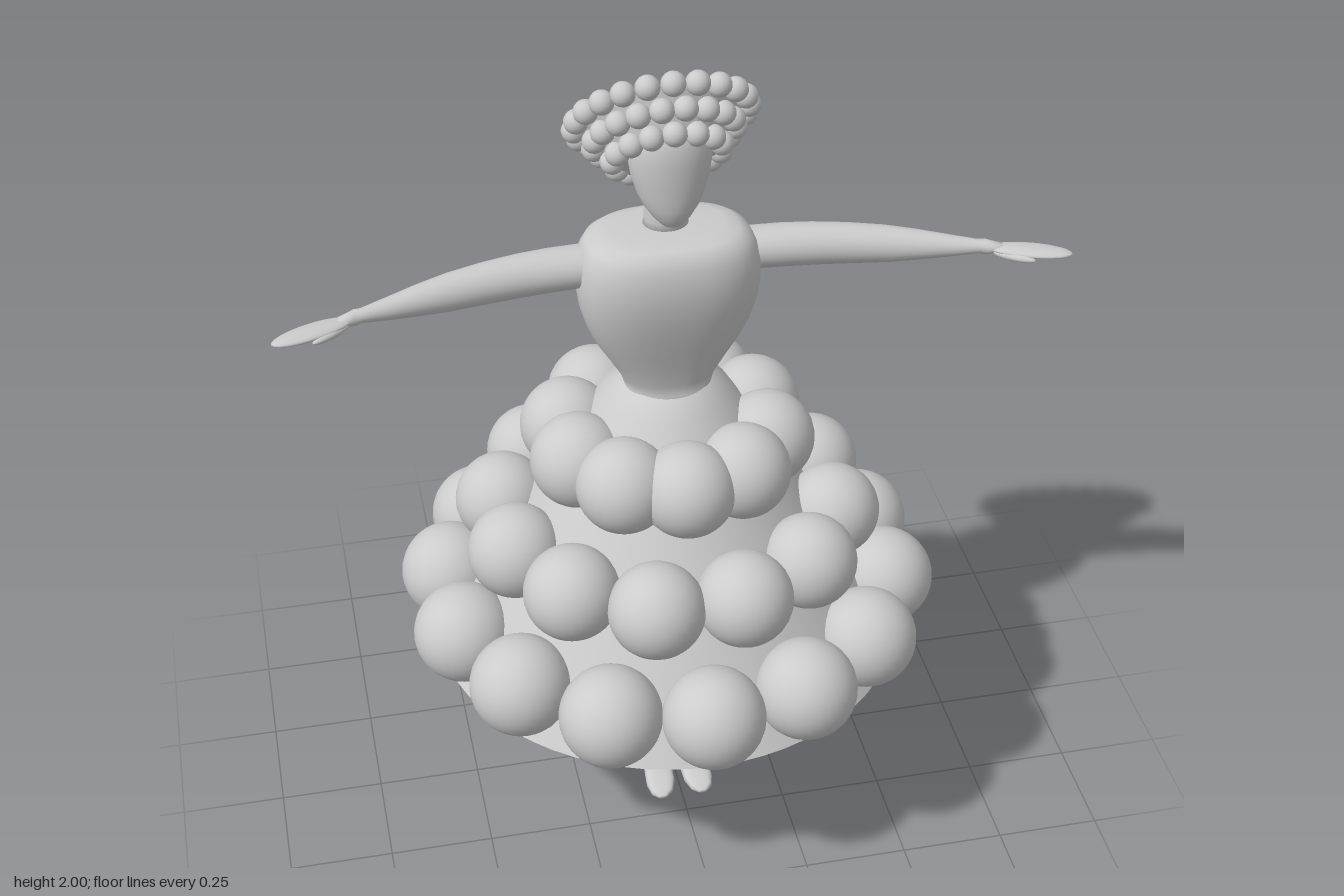
import * as THREE from 'three';

const material = new THREE.MeshStandardMaterial({ color: 0xcccccc });
const openMaterial = new THREE.MeshStandardMaterial({ color: 0xcccccc, side: THREE.DoubleSide });

function addMesh(parent, name, geometry, mat = material) {
  const mesh = new THREE.Mesh(geometry, mat);
  mesh.name = name;
  parent.add(mesh);
  return mesh;
}

// Closed body through (super)elliptic sections [t, centreU, centreV, radiusU, radiusV], t rising along the axis.
// (u, v) is (x, z) for axis y, (z, y) for axis x and (y, x) for axis z.
function loft(axis, sections, power = 2, sides = 32) {
  const place = {
    x: (t, u, v) => [t, v, u],
    y: (t, u, v) => [u, t, v],
    z: (t, u, v) => [v, u, t],
  }[axis];
  const bend = (c) => Math.sign(c) * Math.abs(c) ** (2 / power);
  const positions = [];
  const index = [];
  for (const [t, u, v, ru, rv] of sections) {
    for (let j = 0; j < sides; j++) {
      const a = (j / sides) * Math.PI * 2;
      positions.push(...place(t, u + ru * bend(Math.cos(a)), v + rv * bend(Math.sin(a))));
    }
  }
  const last = (sections.length - 1) * sides;
  for (let i = 0; i < last; i += sides) {
    for (let j = 0; j < sides; j++) {
      const k = (j + 1) % sides;
      index.push(i + j, i + sides + j, i + k, i + k, i + sides + j, i + sides + k);
    }
  }
  // End caps
  const start = positions.length / 3;
  for (const s of [sections[0], sections[sections.length - 1]]) positions.push(...place(s[0], s[1], s[2]));
  for (let j = 0; j < sides; j++) {
    const k = (j + 1) % sides;
    index.push(start, j, k, start + 1, last + k, last + j);
  }
  const geometry = new THREE.BufferGeometry();
  geometry.setAttribute('position', new THREE.Float32BufferAttribute(positions, 3));
  geometry.setIndex(index);
  geometry.computeVertexNormals();
  return geometry;
}

function ellipsoid(rx, ry, rz) {
  return new THREE.SphereGeometry(1, 24, 16).scale(rx, ry, rz);
}

// Adds the left part and its mirror image, with the winding flipped.
function addPair(parent, name, geometry) {
  const mirrored = geometry.clone().scale(-1, 1, 1);
  const idx = mirrored.index.array;
  for (let i = 0; i < idx.length; i += 3) [idx[i], idx[i + 1]] = [idx[i + 1], idx[i]];
  mirrored.computeVertexNormals();
  addMesh(parent, 'left' + name, geometry);
  addMesh(parent, 'right' + name, mirrored);
}

// Evenly spaced balls on a horizontal circle
function addBallRing(parent, name, count, ringRadius, y, ballRadius, offset, detail) {
  const ring = new THREE.Group();
  ring.name = name;
  parent.add(ring);
  const geometry = new THREE.SphereGeometry(ballRadius, detail, detail * 0.65 | 0);
  for (let i = 0; i < count; i++) {
    const a = ((i + offset) / count) * Math.PI * 2;
    addMesh(ring, name + 'Ball', geometry).position.set(Math.sin(a) * ringRadius, y, Math.cos(a) * ringRadius);
  }
}

function addSkirt(model) {
  const skirt = new THREE.Group();
  skirt.name = 'skirt';
  model.add(skirt);
  const profile = [[0.575, 0.46], [0.5, 0.58], [0.366, 0.795], [0.228, 1.015], [0.15, 1.14], [0.1, 1.175]];
  addMesh(skirt, 'skirtCone', new THREE.LatheGeometry(profile.map((p) => new THREE.Vector2(...p)), 64), openMaterial);
  addBallRing(skirt, 'lowerRow', 14, 0.535, 0.578, 0.121, 0, 32);
  addBallRing(skirt, 'middleRow', 12, 0.4, 0.795, 0.114, 0.5, 32);
  addBallRing(skirt, 'upperRow', 10, 0.238, 1.016, 0.113, 0, 32);
}

function addHeaddress(model) {
  const hat = new THREE.Group();
  hat.name = 'headdress';
  hat.position.set(0, 1.822, -0.058);
  hat.rotation.x = -0.865;
  model.add(hat);
  // Tapered crown with a recessed back
  const profile = [[0, -0.1], [0.105, -0.1], [0.185, 0], [0.185, 0.004], [0.13, 0.004], [0.12, -0.025], [0, -0.025]];
  const crown = new THREE.LatheGeometry(profile.map((p) => new THREE.Vector2(...p)), 48).toNonIndexed();
  crown.computeVertexNormals();
  addMesh(hat, 'crown', crown, openMaterial);
  addMesh(hat, 'crownDome', ellipsoid(0.08, 0.045, 0.08)).position.y = -0.02;
  addBallRing(hat, 'backBeads', 22, 0.195, 0, 0.028, 0, 16);
  addBallRing(hat, 'middleBeads', 19, 0.158, -0.043, 0.028, 0.5, 16);
  addBallRing(hat, 'frontBeads', 15, 0.122, -0.086, 0.028, 0, 16);
}

export function createModel() {
  const model = new THREE.Group();
  model.name = 'dancer';

  addSkirt(model);
  addHeaddress(model);

  // Bodice, narrow at the waist and full at the chest
  addMesh(model, 'bodice', loft('y', [
    [1.13, 0, 0, 0.12, 0.1], [1.17, 0, 0, 0.102, 0.085], [1.2, 0, 0, 0.11, 0.087], [1.25, 0, 0.002, 0.138, 0.097],
    [1.3, 0, 0.004, 0.168, 0.109], [1.35, 0, 0.007, 0.19, 0.12], [1.4, 0, 0.01, 0.204, 0.129],
    [1.45, 0, 0.012, 0.21, 0.135], [1.5, 0, 0.012, 0.209, 0.136], [1.54, 0, 0.01, 0.2, 0.13],
    [1.565, 0, 0.008, 0.185, 0.12], [1.578, 0, 0.005, 0.163, 0.106], [1.583, 0, 0, 0.13, 0.085],
    [1.585, 0, -0.01, 0.06, 0.055],
  ], 2.5, 48));

  addMesh(model, 'neck', loft('y', [
    [1.57, 0, -0.013, 0.055, 0.05], [1.6, 0, -0.013, 0.049, 0.045], [1.72, 0, -0.005, 0.048, 0.045],
  ]));

  addMesh(model, 'head', loft('y', [
    [1.617, 0, 0.06, 0.008, 0.01], [1.625, 0, 0.058, 0.025, 0.025], [1.645, 0, 0.054, 0.044, 0.042],
    [1.67, 0, 0.048, 0.062, 0.054], [1.7, 0, 0.042, 0.076, 0.062], [1.74, 0, 0.036, 0.088, 0.069],
    [1.78, 0, 0.033, 0.094, 0.072], [1.82, 0, 0.033, 0.09, 0.069], [1.85, 0, 0.035, 0.073, 0.055],
    [1.868, 0, 0.037, 0.045, 0.035], [1.874, 0, 0.038, 0.015, 0.012],
  ]));

  // Arms sweep forward towards the hands
  addPair(model, 'Arm', loft('x', [
    [0.12, 0, 1.5, 0.052, 0.045], [0.2, 0, 1.5, 0.054, 0.048], [0.27, 0.003, 1.499, 0.053, 0.049],
    [0.34, 0.01, 1.498, 0.05, 0.049], [0.42, 0.022, 1.496, 0.047, 0.047], [0.5, 0.04, 1.495, 0.043, 0.043],
    [0.57, 0.06, 1.496, 0.036, 0.035], [0.64, 0.083, 1.498, 0.026, 0.025], [0.7, 0.102, 1.5, 0.017, 0.016],
    [0.715, 0.107, 1.5, 0.019, 0.018], [0.73, 0.112, 1.5, 0.017, 0.014], [0.75, 0.118, 1.5, 0.014, 0.01],
  ]));
  addPair(model, 'Hand', ellipsoid(0.095, 0.011, 0.03).rotateY(-0.36).translate(0.81, 1.5, 0.145));
  addPair(model, 'Thumb', ellipsoid(0.05, 0.01, 0.012).rotateY(-0.6).translate(0.77, 1.493, 0.152));

  // Legs taper from inside the skirt to the ankle
  addPair(model, 'Leg', loft('y', [
    [0.05, 0.036, -0.005, 0.025, 0.027], [0.1, 0.037, -0.004, 0.028, 0.029], [0.25, 0.046, 0, 0.04, 0.041],
    [0.38, 0.055, 0.002, 0.05, 0.052], [0.46, 0.061, 0.002, 0.055, 0.057], [0.7, 0.075, 0.002, 0.066, 0.068],
    [1.1, 0.08, 0, 0.075, 0.078],
  ]));
  addPair(model, 'Foot', loft('z', [
    [-0.04, 0.035, 0.036, 0.018, 0.014], [-0.032, 0.035, 0.036, 0.031, 0.025], [-0.01, 0.036, 0.037, 0.036, 0.03],
    [0.02, 0.035, 0.039, 0.035, 0.031], [0.06, 0.029, 0.042, 0.029, 0.033], [0.11, 0.022, 0.046, 0.022, 0.036],
    [0.16, 0.016, 0.049, 0.016, 0.036], [0.19, 0.012, 0.051, 0.011, 0.027], [0.205, 0.01, 0.052, 0.005, 0.01],
  ], 3));

  return model;
}
